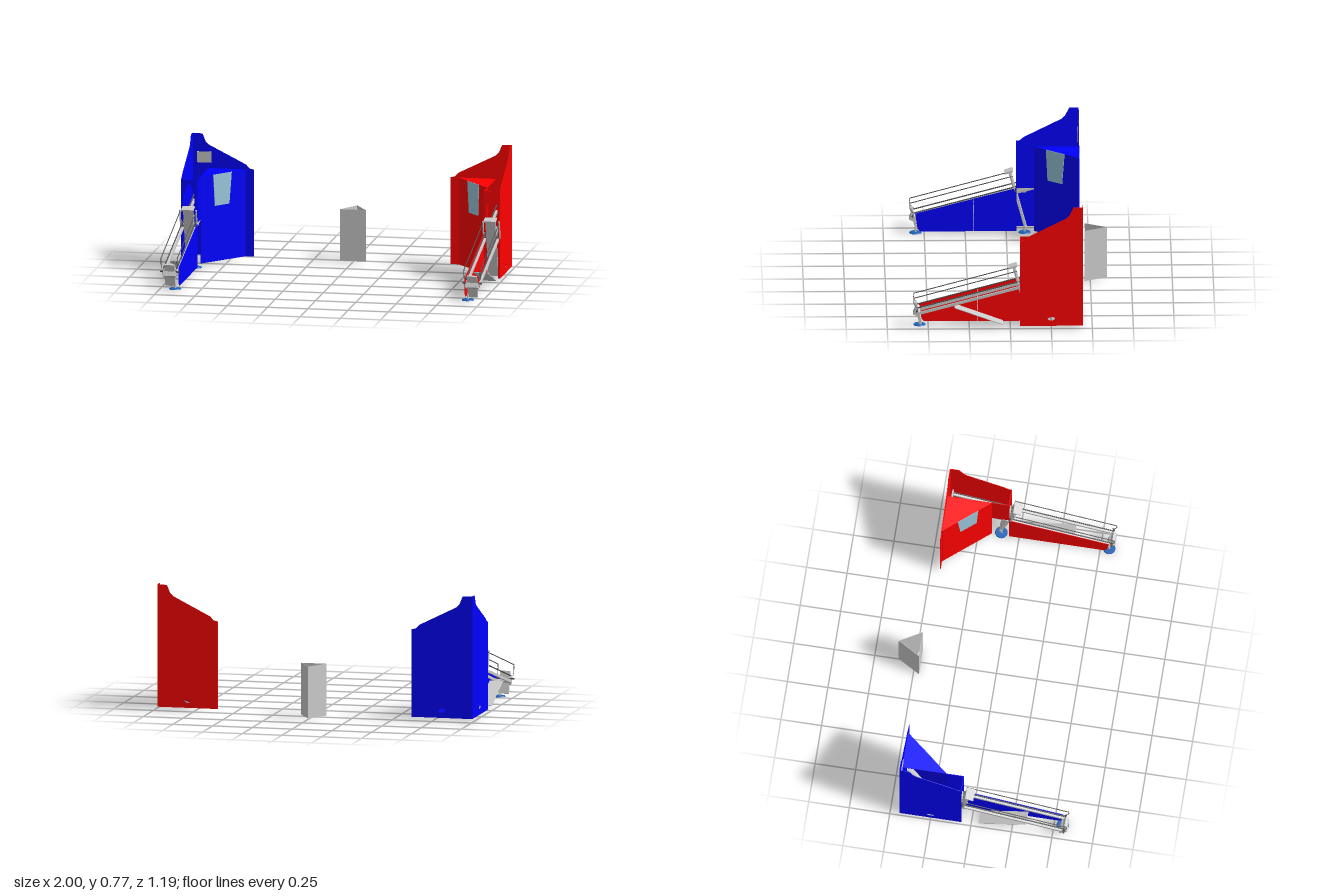
import * as THREE from 'three';

const V = (x, y, z) => new THREE.Vector3(x, y, z);
const mat = (color) => new THREE.MeshStandardMaterial({ color, side: THREE.DoubleSide });
const T = 0.003; // sheet thickness

// Flat sheet from an outline, with optional hole outlines
function sheet(points, holes = []) {
  const toVecs = (list) => list.map(([u, v]) => new THREE.Vector2(u, v));
  const shape = new THREE.Shape(toVecs(points));
  for (const h of holes) shape.holes.push(new THREE.Path(toVecs(h)));
  return new THREE.ExtrudeGeometry(shape, { depth: T, bevelEnabled: false });
}

// Sheet standing in the z-y plane; points are [z, y]
const sideSheet = (x, points, holes = []) => {
  const flip = (list) => list.map(([z, y]) => [-z, y]);
  return sheet(flip(points), holes.map(flip)).rotateY(Math.PI / 2).translate(x, 0, 0);
};

// Rounded slot outline
const slot = (u, v, w, h) => Array.from({ length: 12 }, (_, i) => {
  const a = (i / 12) * Math.PI * 2;
  return [u + Math.cos(a) * w / 2, v + Math.sin(a) * h / 2];
});

// Round bar between two points
function bar(a, b, r) {
  const d = b.clone().sub(a);
  const g = new THREE.CylinderGeometry(r, r, d.length(), 8);
  g.applyQuaternion(new THREE.Quaternion().setFromUnitVectors(V(0, 1, 0), d.normalize()));
  const m = a.clone().add(b).multiplyScalar(0.5);
  return g.translate(m.x, m.y, m.z);
}

// Rectangular beam along a line in the z-y plane
function beam(x, [z0, y0], [z1, y1], w, t) {
  const g = new THREE.BoxGeometry(w, Math.hypot(z1 - z0, y1 - y0), t);
  g.rotateX(Math.atan2(z1 - z0, y1 - y0));
  return g.translate(x, (y0 + y1) / 2, (z0 + z1) / 2);
}

// Mirror across x = 0, keeping faces outward
function mirrored(geo) {
  const g = geo.index ? geo.toNonIndexed() : geo;
  g.scale(-1, 1, 1);
  for (const a of Object.values(g.attributes)) {
    for (let i = 0; i < a.count; i += 3) {
      for (let k = 0; k < a.itemSize; k++) {
        const p = (i + 1) * a.itemSize + k, q = (i + 2) * a.itemSize + k;
        [a.array[p], a.array[q]] = [a.array[q], a.array[p]];
      }
    }
  }
  return g;
}

const grey = mat(0xcccccc), dark = mat(0x555555), pale = mat(0x9cc8dc), footBlue = mat(0x1c62b8);

function station(side, name, color) {
  const group = new THREE.Group();
  group.name = name;
  const paint = mat(color);
  const add = (part, geo, material) => {
    const mesh = new THREE.Mesh(side < 0 ? mirrored(geo) : geo, material);
    mesh.name = part;
    group.add(mesh);
  };

  // Tall guard panels
  add('outerPanel', sideSheet(0.988, [[-0.06, 0.015], [-0.06, 0.56], [-0.08, 0.56], [-0.11, 0.585], [-0.34, 0.7],
    [-0.36, 0.72], [-0.385, 0.77], [-0.44, 0.77], [-0.44, 0.015]], [slot(-0.25, 0.06, 0.045, 0.025)]), paint);
  add('backPanel', sheet([[0.61, 0.015], [0.61, 0.555], [0.635, 0.56], [0.66, 0.585], [0.89, 0.7], [0.91, 0.72],
    [0.93, 0.768], [0.99, 0.77], [0.99, 0.015]], [slot(0.8, 0.06, 0.045, 0.025)]).translate(0, 0, -0.443), paint);
  add('frontArch', sheet([[0.89, 0.015], [0.89, 0.555], [0.99, 0.555], [0.99, 0.015], [0.977, 0.015],
    [0.977, 0.46], [0.95, 0.525], [0.93, 0.525], [0.905, 0.46], [0.905, 0.015]]).translate(0, 0, -0.063), paint);
  add('innerPanel', sideSheet(0.888, [[-0.06, 0.29], [-0.06, 0.555], [-0.17, 0.555], [-0.17, 0.29]]), paint);

  // Diagonal panel with its window
  const dx = 0.225, dz = 0.27, len = Math.hypot(dx, dz), turn = Math.atan2(dz, dx);
  const diagonal = (g, lift) => g.translate(0, 0, lift).rotateY(-turn).translate(0.665, 0, -0.44);
  add('diagonalPanel', diagonal(sheet([[0, 0.015], [len, 0.015], [len, 0.555], [0, 0.555]]), 0), paint);
  const u = (x) => ((x - 0.665) / dx) * len;
  add('window', diagonal(sheet([[u(0.747), 0.36], [u(0.82), 0.36], [u(0.828), 0.555], [u(0.735), 0.555]]), T), pale);
  add('shelf', sheet([[0.665, 0.44], [0.89, 0.44], [0.89, 0.17]]).rotateX(-Math.PI / 2).translate(0, 0.552, 0), paint);
  if (side < 0) add('noticePlate', new THREE.BoxGeometry(0.088, 0.068, T).translate(0.918, 0.623, -0.437), grey);

  // Skirt panels along the ramp, in two lengths
  add('frontSkirt', sideSheet(0.886, [[0.525, 0.015], [0.54, 0.03], [0.555, 0.128], [0.201, 0.221], [0.201, 0.015]]), paint);
  add('rearSkirt', sideSheet(0.886, [[0.199, 0.015], [0.199, 0.222], [-0.06, 0.288], [-0.06, 0.015]]), paint);

  // Sloping rails
  const slopeY = (z, base) => base + (0.56 - z) * 0.268;
  for (const x of [0.898, 0.978]) {
    add('mainRail', beam(x, [0.565, slopeY(0.565, 0.092)], [-0.43, slopeY(-0.43, 0.092)], 0.012, 0.016), grey);
    add('upperRail', bar(V(x, slopeY(0.565, 0.13), 0.565), V(x, slopeY(-0.43, 0.13), -0.43), 0.004), dark);
  }
  for (const x of [0.89, 0.99]) {
    add('handrail', bar(V(x, 0.195, 0.587), V(x, 0.365, -0.04), 0.003), dark);
    const bend = new THREE.CatmullRomCurve3([V(x, 0.195, 0.587), V(x, 0.165, 0.588), V(x, 0.14, 0.575), V(x, 0.13, 0.56)]);
    add('handrailEnd', new THREE.TubeGeometry(bend, 10, 0.002, 6), dark);
    add('handrailBracket', bar(V(x, 0.265, -0.055), V(x, 0.375, -0.025), 0.005), grey);
  }

  // Legs with round feet
  const legs = [[0.545, 0.58, 0.155], [-0.12, -0.02, 0.385]];
  for (const [z0, z1, top] of legs) {
    add('leg', beam(0.938, [z0, 0.02], [z1, top], 0.062, 0.015), grey);
    add('footStem', new THREE.CylinderGeometry(0.007, 0.007, 0.04, 10).translate(0.908, 0.022, z0 + 0.008), grey);
    add('foot', new THREE.CylinderGeometry(0.034, 0.038, 0.006, 24).translate(0.908, 0.003, z0 + 0.008), footBlue);
  }
  add('frontAxle', bar(V(0.88, 0.11, 0.57), V(0.998, 0.11, 0.57), 0.006), dark);
  add('frontBracket', beam(0.938, [0.555, 0.085], [0.585, 0.1], 0.08, 0.03), grey);
  add('rearAxle', bar(V(0.885, 0.27, -0.055), V(0.985, 0.27, -0.055), 0.006), dark);
  add('rearCap', beam(0.938, [0.01, 0.376], [-0.04, 0.392], 0.075, 0.01), grey);
  add('rearHousing', new THREE.BoxGeometry(0.07, 0.07, 0.06).translate(0.938, 0.29, -0.09), grey);
  add('endPlate', new THREE.BoxGeometry(0.07, 0.045, 0.008).translate(0.94, 0.43, -0.42), grey);
  for (const y of [0.34, 0.39]) add('endRod', bar(V(0.895, y, -0.42), V(0.98, y, -0.42), 0.004), dark);

  // Sloping chute plate below the rails
  add('chute', beam(0.944, [0.34, 0.13], [0.045, 0.022], 0.085, 0.004), grey);
  return group;
}

// Open three-sided column between the stations
function column() {
  const tri = (w, z0, z1) => [[-w, -z0], [w, -z0], [0, -z1]];
  const shape = new THREE.Shape(tri(0.08, -0.465, -0.603).map((p) => new THREE.Vector2(...p)));
  shape.holes.push(new THREE.Path(tri(0.076, -0.467, -0.599).map((p) => new THREE.Vector2(...p))));
  const g = new THREE.ExtrudeGeometry(shape, { depth: 0.32, bevelEnabled: false }).rotateX(-Math.PI / 2).translate(0, 0.005, 0);
  const mesh = new THREE.Mesh(g, grey);
  mesh.name = 'triangularColumn';
  return mesh;
}

export function createModel() {
  const model = new THREE.Group();
  model.name = 'twinLoadingStations';
  model.add(station(1, 'leftStation', 0xff0000), station(-1, 'rightStation', 0x0000ff), column());
  return model;
}
